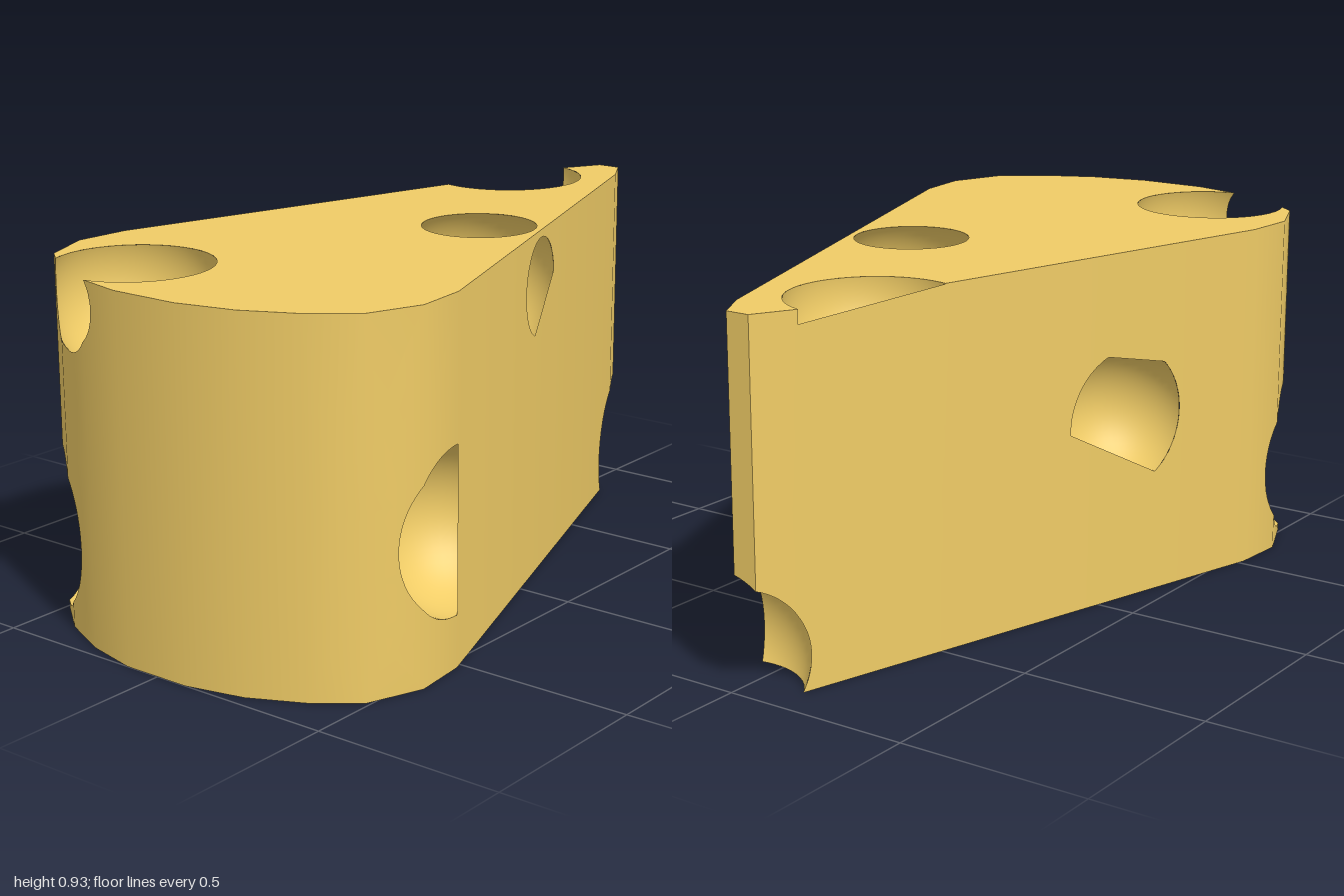
import * as THREE from 'three';

const V = (x, y, z) => new THREE.Vector3(x, y, z);
const HEIGHT = 0.93;

// Wedge footprint as [x, z], from the round rind along the back to the tip and home along the front
const OUTLINE = [
  [-1, -0.1], [-0.965, -0.245], [-0.9, -0.385], [-0.815, -0.49], [-0.67, -0.55], [-0.52, -0.54],
  [0.9, -0.14], [1, -0.085], [1, -0.02], [0.9, 0.035],
  [-0.52, 0.53], [-0.67, 0.545], [-0.815, 0.49], [-0.9, 0.38], [-0.965, 0.245], [-1, 0.09],
];

// Positive on the lower right of the line through (x, y) with the given slope
const below = (x, y, slope) => (p) => y + slope * (p.x - x) - p.y;
const above = (x, y, slope) => (p) => p.y - y - slope * (p.x - x);

// Air bubbles; "skins" are the parts of the wall that still cover a bubble
const BUBBLES = [
  { name: 'frontTopBubble', c: V(0.09, 0.78, 0.14), r: 0.212, skins: [below(0.09, 0.65, 0.83)] },
  { name: 'rindTopBubble', c: V(-0.77, 0.86, -0.262), r: 0.213, skins: [] },
  { name: 'tipTopBubble', c: V(0.69, 0.91, -0.2), r: 0.213, skins: [below(0.48, 0.929, -0.083)] },
  { name: 'tipBottomBubble', c: V(1, 0.09, 0.03), r: 0.215, skins: [] },
  { name: 'frontRindBubble', c: V(-0.52, 0.35, 0.54), r: 0.214, skins: [(p) => p.x + 0.52] },
  { name: 'backBubble', c: V(-0.085, 0.485, -0.417), r: 0.19,
    skins: [below(0.1, 0.48, 0.533), above(-0.04, 0.66, 0.225)] },
  { name: 'backRindBubble', c: V(-0.82, 0.23, -0.49), r: 0.21, skins: [] },
];

// Keeps the part of a polygon where f is positive
function clip(poly, f) {
  const out = [];
  poly.forEach((a, i) => {
    const b = poly[(i + 1) % poly.length];
    const inA = f(a) > 0;
    if (inA) out.push(a);
    if (inA !== f(b) > 0) {
      let lo = 0, hi = 1;
      for (let k = 0; k < 20; k++) {
        const mid = (lo + hi) / 2;
        if ((f(a.clone().lerp(b, mid)) > 0) === inA) lo = mid; else hi = mid;
      }
      out.push(a.clone().lerp(b, (lo + hi) / 2));
    }
  });
  return out.length > 2 ? out : null;
}

const clipAll = (polys, f) => polys.map((p) => clip(p, f)).filter(Boolean);

// Halves a triangle until it is small wherever it lies near a bubble
function refine(tri, out) {
  const len = [0, 1, 2].map((i) => tri[i].distanceTo(tri[(i + 1) % 3]));
  const longest = Math.max(...len);
  const centre = tri[0].clone().add(tri[1]).add(tri[2]).divideScalar(3);
  if (longest > 0.04 && BUBBLES.some((b) => centre.distanceTo(b.c) < b.r + longest)) {
    const i = len.indexOf(longest);
    const a = tri[i], b = tri[(i + 1) % 3], c = tri[(i + 2) % 3];
    const m = a.clone().lerp(b, 0.5);
    refine([a, m, c], out);
    refine([m, b, c], out);
  } else out.push(tri);
}

// Collects polygons with a normal rule and turns them into a mesh
class Surface {
  constructor() { this.pos = []; this.nor = []; }
  add(polys, normalAt) {
    for (const poly of polys) {
      for (let i = 1; i < poly.length - 1; i++) {
        let t = [poly[0], poly[i], poly[i + 1]];
        const face = t[1].clone().sub(t[0]).cross(t[2].clone().sub(t[0]));
        if (face.length() < 1e-10) continue;
        if (face.dot(normalAt(t[0])) < 0) t = [t[0], t[2], t[1]];
        for (const p of t) {
          this.pos.push(p.x, p.y, p.z);
          this.nor.push(...normalAt(p).toArray());
        }
      }
    }
  }
  mesh(name, material) {
    const g = new THREE.BufferGeometry();
    g.setAttribute('position', new THREE.Float32BufferAttribute(this.pos, 3));
    g.setAttribute('normal', new THREE.Float32BufferAttribute(this.nor, 3));
    const m = new THREE.Mesh(g, material);
    m.name = name;
    return m;
  }
}

// Cuts the bubble openings out of one flat panel
function perforate(corners) {
  let polys = [];
  for (let i = 1; i < corners.length - 1; i++) refine([corners[0], corners[i], corners[i + 1]], polys);
  for (const { c, r, skins } of BUBBLES) {
    const outside = (p) => p.distanceTo(c) - r;
    const inside = clipAll(polys, (p) => -outside(p));
    polys = clipAll(polys, outside);
    for (const skin of skins) polys.push(...clipAll(inside, skin));
  }
  return polys;
}

export function createModel() {
  const group = new THREE.Group();
  group.name = 'cheeseWedge';
  const material = new THREE.MeshStandardMaterial({ color: 0xf0cc66 });
  const n = OUTLINE.length;

  // Outward normal of each side panel, softened across shallow corners
  const faceNormals = OUTLINE.map(([x, z], i) => {
    const [x2, z2] = OUTLINE[(i + 1) % n];
    return V(z2 - z, 0, x - x2).normalize();
  });
  const soften = (i, j) => {
    const a = faceNormals[i], b = faceNormals[(j + n) % n];
    return a.angleTo(b) < 0.6 ? a.clone().add(b).normalize() : a.clone();
  };

  // Side walls
  const walls = new Surface();
  OUTLINE.forEach(([x, z], i) => {
    const [x2, z2] = OUTLINE[(i + 1) % n];
    const start = soften(i, i - 1), end = soften(i, (i + 1) % n);
    const length = Math.hypot(x2 - x, z2 - z);
    const quad = [V(x, 0, z), V(x2, 0, z2), V(x2, HEIGHT, z2), V(x, HEIGHT, z)];
    walls.add(perforate(quad), (p) =>
      start.clone().lerp(end, Math.hypot(p.x - x, p.z - z) / length).normalize());
  });
  group.add(walls.mesh('sideWalls', material));

  // Top and bottom faces
  for (const [name, y, dir] of [['topFace', HEIGHT, 1], ['bottomFace', 0, -1]]) {
    const cap = new Surface();
    cap.add(perforate(OUTLINE.map(([x, z]) => V(x, y, z))), () => V(0, dir, 0));
    group.add(cap.mesh(name, material));
  }

  // Hollow bubbles: spheres seen from inside, trimmed to the wedge
  for (const { name, c, r } of BUBBLES) {
    const g = new THREE.SphereGeometry(r, 56, 36).toNonIndexed();
    const at = g.attributes.position;
    let polys = [];
    for (let i = 0; i < at.count; i += 3) {
      polys.push([0, 1, 2].map((k) => V(0, 0, 0).fromBufferAttribute(at, i + k).add(c)));
    }
    polys = clipAll(clipAll(polys, (p) => p.y), (p) => HEIGHT - p.y);
    OUTLINE.forEach(([x, z], i) => {
      const f = faceNormals[i];
      polys = clipAll(polys, (p) => (x - p.x) * f.x + (z - p.z) * f.z);
    });
    const bubble = new Surface();
    bubble.add(polys, (p) => c.clone().sub(p).normalize());
    group.add(bubble.mesh(name, material));
  }
  return group;
}
